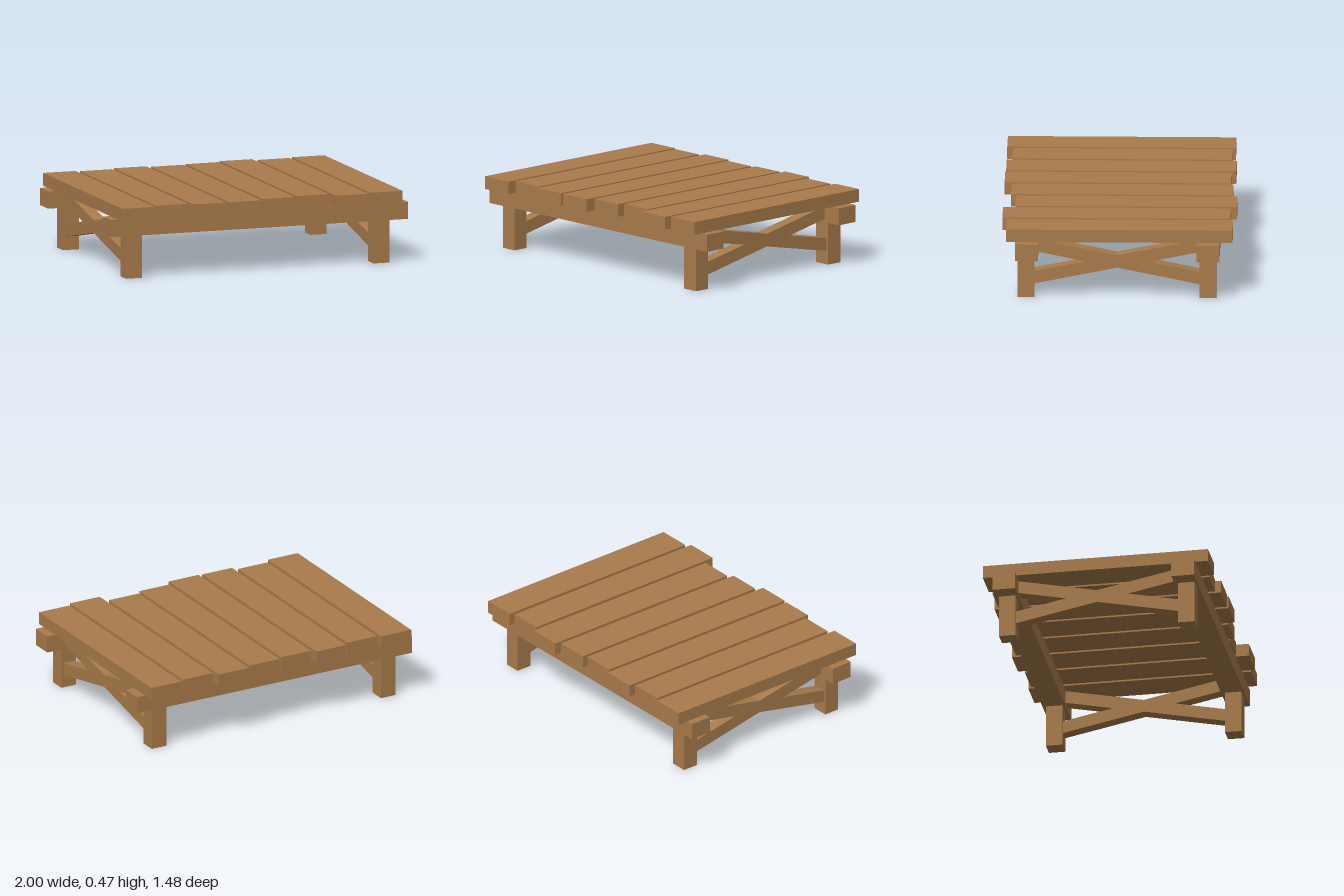
import * as THREE from 'three';

export function createModel() {
  const table = new THREE.Group();
  table.name = 'plankTable';
  const wood = new THREE.MeshStandardMaterial({ color: 0xa87b4b, flatShading: true });

  // Box given by its extents on each axis
  function beam(name, [x0, x1], [y0, y1], [z0, z1]) {
    const mesh = new THREE.Mesh(new THREE.BoxGeometry(x1 - x0, y1 - y0, z1 - z0), wood);
    mesh.position.set((x0 + x1) / 2, (y0 + y1) / 2, (z0 + z1) / 2);
    mesh.name = name;
    table.add(mesh);
  }

  // Top planks with uneven ends: [back z, front z]
  const plankEnds = [
    [-0.713, 0.732], [-0.695, 0.695], [-0.724, 0.73], [-0.695, 0.735],
    [-0.713, 0.69], [-0.743, 0.658], [-0.703, 0.735], [-0.724, 0.706],
  ];
  plankEnds.forEach((ends, i) => {
    const x = -0.953 + i * 0.24;
    beam('plank' + (i + 1), [x, x + 0.217], [0.385, 0.467], ends);
  });

  // Long rails under the planks
  beam('frontRail', [-1, 1], [0.275, 0.385], [0.505, 0.65]);
  beam('backRail', [-1, 1], [0.275, 0.385], [-0.642, -0.497]);

  // Legs and crossed braces at each end
  const sides = [['right', -0.893, -0.785], ['left', 0.775, 0.883]];
  for (const [side, x0, x1] of sides) {
    beam(side + 'FrontLeg', [x0, x1], [0, 0.275], [0.53, 0.635]);
    beam(side + 'BackLeg', [x0, x1], [0, 0.275], [-0.62, -0.513]);
    for (const tilt of [-1, 1]) {
      const brace = new THREE.Mesh(new THREE.BoxGeometry(0.08, 0.08, 1.11), wood);
      brace.position.set((x0 + x1) / 2, 0.234, 0.006);
      brace.rotation.x = tilt * Math.atan(0.205);
      brace.name = side + (tilt < 0 ? 'RisingBrace' : 'FallingBrace');
      table.add(brace);
    }
  }
  return table;
}
